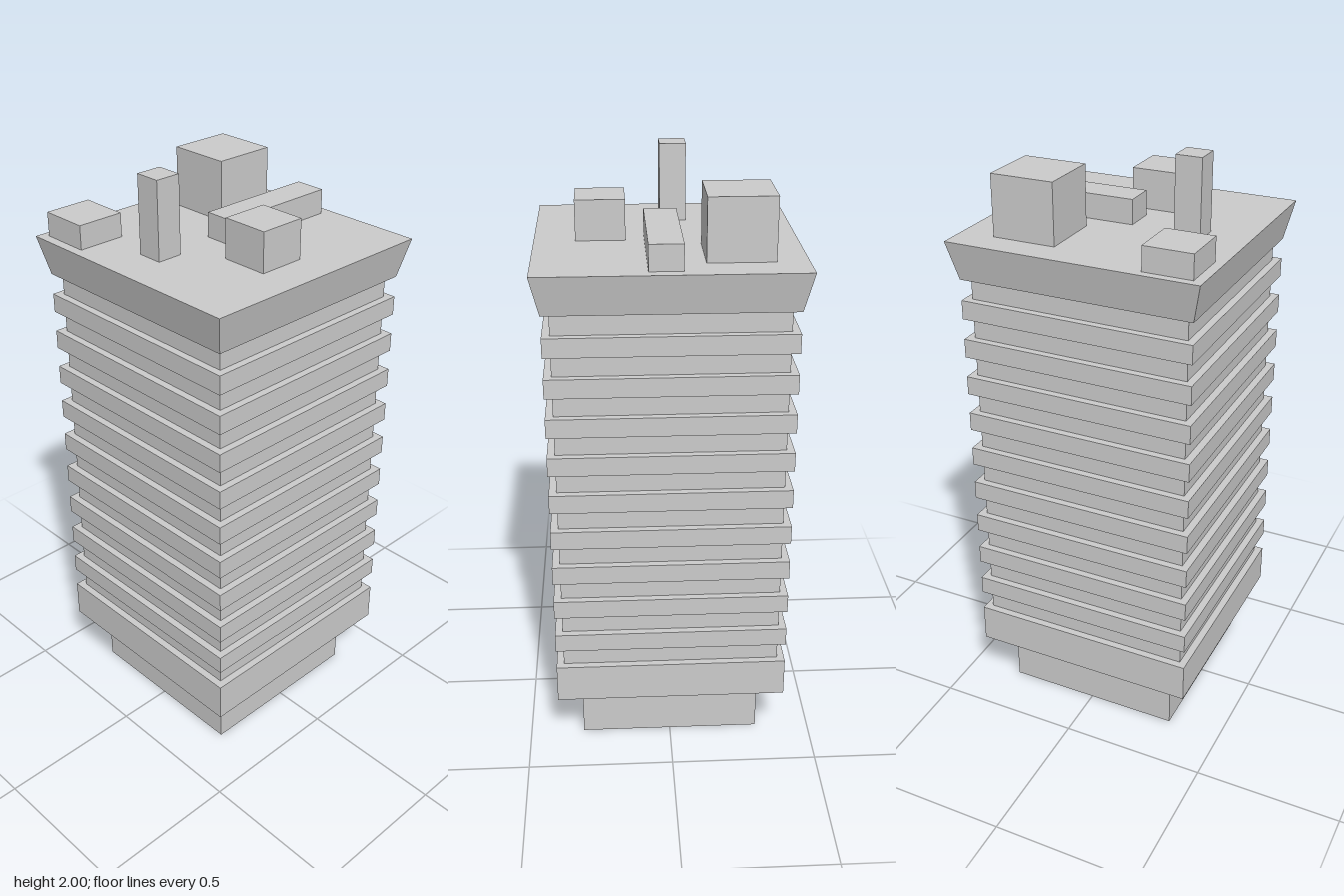
import * as THREE from 'three';

const material = new THREE.MeshStandardMaterial({ color: 0xcccccc, flatShading: true, side: THREE.DoubleSide });

// Square shell from a profile of [half width, height] points, bottom to top
function squareShell(name, profile) {
  const points = profile.map(([w, y]) => new THREE.Vector2(w * Math.SQRT2, y));
  const geometry = new THREE.LatheGeometry(points, 4, Math.PI / 4).toNonIndexed();
  geometry.computeVertexNormals();
  const mesh = new THREE.Mesh(geometry, material);
  mesh.name = name;
  return mesh;
}

// Box given by its x, y and z ranges
function block(name, x0, x1, y0, y1, z0, z1) {
  const mesh = new THREE.Mesh(new THREE.BoxGeometry(x1 - x0, y1 - y0, z1 - z0), material);
  mesh.position.set((x0 + x1) / 2, (y0 + y1) / 2, (z0 + z1) / 2);
  mesh.name = name;
  return mesh;
}

export function createModel() {
  const tower = new THREE.Group();
  tower.name = 'tower';
  const core = 0.37, ledge = 0.395, roofY = 1.743;

  // Recessed ground floor, open underneath
  tower.add(squareShell('groundFloor', [[0.311, 0], [0.311, 0.204]]));

  // Hollow shaft: a tall first band, then nine projecting floor bands
  const shaft = [[0.311, 0.204], [ledge, 0.204], [ledge, 0.339], [core, 0.339]];
  for (let i = 0; i < 9; i++) {
    const y = 0.408 + i * 0.1338;
    shaft.push([core, y], [ledge, y], [ledge, y + 0.064], [core, y + 0.064]);
  }
  shaft.push([core, 1.613]);
  tower.add(squareShell('floors', shaft));

  // Flared crown with a flat roof
  tower.add(squareShell('crown', [[core, 1.613], [ledge, 1.613], [0.424, roofY], [0, roofY]]));

  // Rooftop equipment
  const roof = new THREE.Group();
  roof.name = 'rooftop';
  roof.add(
    block('backVent', -0.392, -0.229, roofY, 1.823, -0.396, -0.23),
    block('liftHouse', 0.095, 0.308, roofY, 1.944, -0.323, -0.109),
    block('chimney', -0.281, -0.193, roofY, 2, -0.078, 0.01),
    block('duct', -0.032, 0.386, roofY, 1.826, -0.037, 0.07),
    block('frontVent', -0.116, 0.045, roofY, 1.875, 0.13, 0.291)
  );
  tower.add(roof);
  return tower;
}
